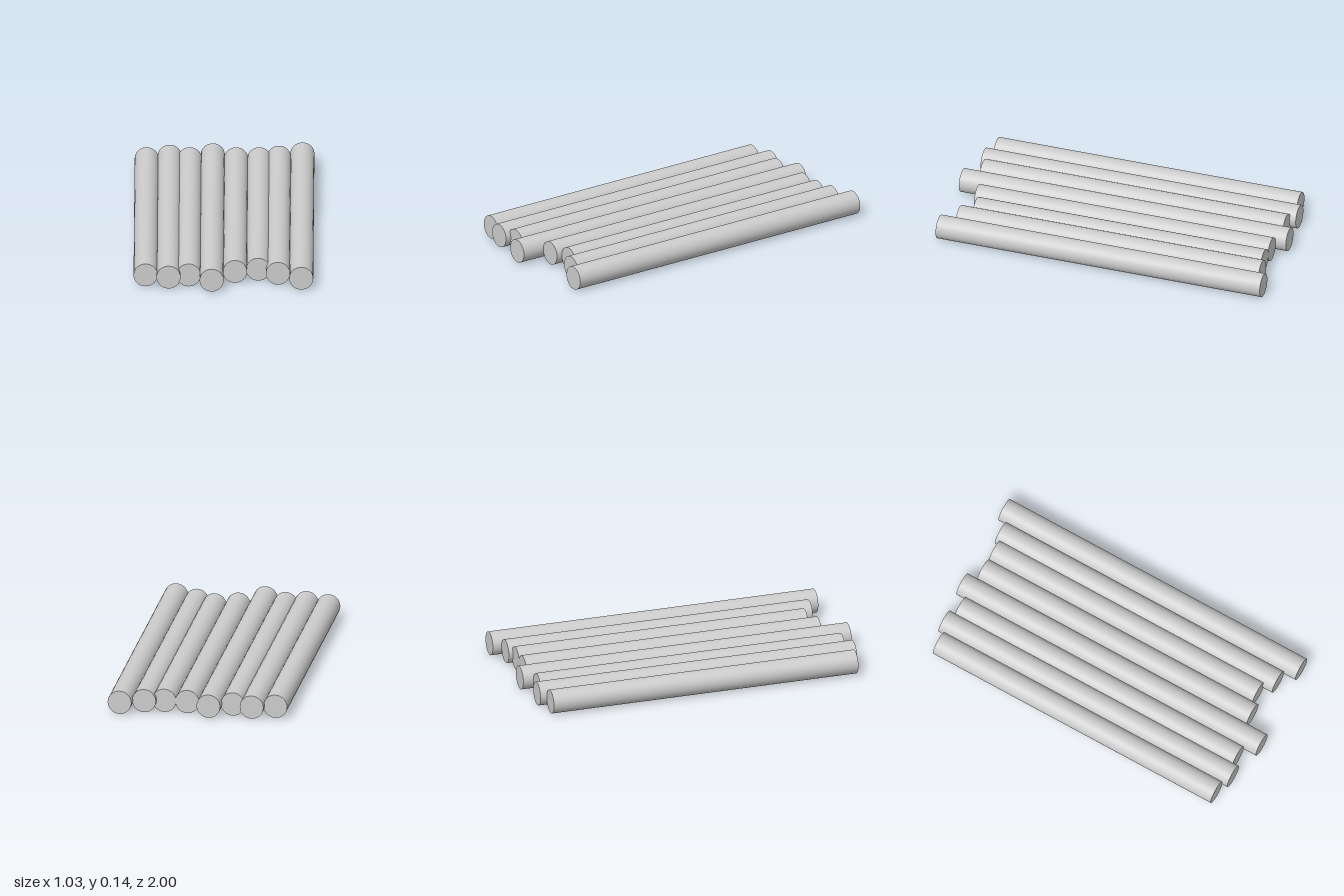
import * as THREE from 'three';

const RADIUS = 0.069;

// Each log: centre x, back end z, front end z
const LOGS = [
  [-0.448, -0.922, 0.918],
  [-0.316, -0.96, 0.952],
  [-0.2, -0.922, 0.918],
  [-0.068, -0.984, 1.0],
  [0.066, -0.922, 0.862],
  [0.199, -0.922, 0.826],
  [0.313, -0.947, 0.89],
  [0.447, -1.0, 0.967],
];

export function createModel() {
  const raft = new THREE.Group();
  raft.name = 'logRow';
  const material = new THREE.MeshStandardMaterial({ color: 0xcccccc });

  // Round logs lying side by side along z, with uneven ends
  LOGS.forEach(([x, back, front], i) => {
    const geometry = new THREE.CylinderGeometry(RADIUS, RADIUS, front - back, 32);
    geometry.rotateX(Math.PI / 2);
    const log = new THREE.Mesh(geometry, material);
    log.name = `log${i + 1}`;
    log.position.set(x, RADIUS, (front + back) / 2);
    raft.add(log);
  });

  return raft;
}
